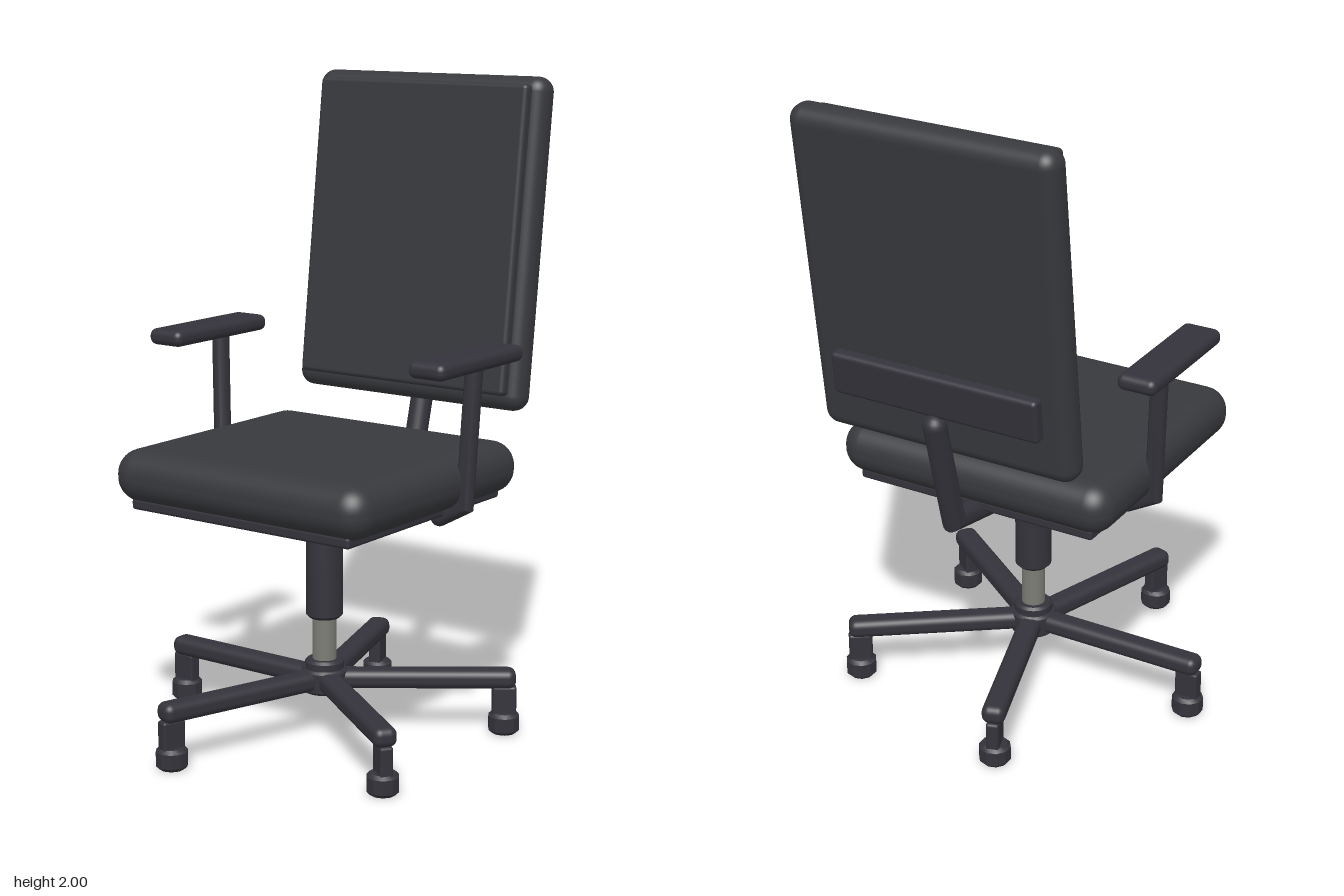
import * as THREE from 'three';
import { RoundedBoxGeometry } from 'three/addons/geometries/RoundedBoxGeometry.js';
import { toCreasedNormals } from 'three/addons/utils/BufferGeometryUtils.js';

const CX = 0.027, CZ = 0.03; // axis of the gas column
const V = (x, y, z) => new THREE.Vector3(x, y, z);

// Round bar through a planar bent path, with mitred corners
function bentBar(points, r, sides = 20) {
  const dirs = points.slice(1).map((p, i) => p.clone().sub(points[i]).normalize());
  const b = dirs[0].clone().cross(dirs[1]).normalize();
  const pos = [], idx = [];
  points.forEach((p, i) => {
    const before = dirs[Math.max(i - 1, 0)], after = dirs[Math.min(i, dirs.length - 1)];
    const t = before.clone().add(after).normalize();
    const n = t.clone().cross(b).divideScalar(t.dot(after));
    for (let j = 0; j < sides; j++) {
      const a = (j / sides) * Math.PI * 2;
      const v = p.clone().addScaledVector(b, r * Math.cos(a)).addScaledVector(n, r * Math.sin(a));
      pos.push(v.x, v.y, v.z);
    }
  });
  for (let i = 0; i < points.length - 1; i++) {
    for (let j = 0; j < sides; j++) {
      const k = (j + 1) % sides, lo = i * sides, hi = lo + sides;
      idx.push(lo + j, lo + k, hi + j, lo + k, hi + k, hi + j);
    }
  }
  const g = new THREE.BufferGeometry();
  g.setAttribute('position', new THREE.Float32BufferAttribute(pos, 3));
  g.setIndex(idx);
  return toCreasedNormals(g, 0.45);
}

// Upright turned part with small bevels on both rims
function turned(r, y0, y1, bevel, sides) {
  const profile = [[0, y0], [r - bevel, y0], [r, y0 + bevel], [r, y1 - bevel], [r - bevel, y1], [0, y1]]
    .map(([x, y]) => new THREE.Vector2(x, y));
  return toCreasedNormals(new THREE.LatheGeometry(profile, sides), 0.5);
}

export function createModel() {
  const fabric = new THREE.MeshStandardMaterial({ name: 'charcoal fabric', color: 0x38393d });
  const plastic = new THREE.MeshStandardMaterial({ name: 'dark plastic', color: 0x34333b });
  const metal = new THREE.MeshStandardMaterial({ name: 'grey metal', color: 0x7c7c75 });
  const model = new THREE.Group();
  model.name = 'officeChair';

  const add = (parent, name, geometry, material, x = 0, y = 0, z = 0) => {
    const mesh = new THREE.Mesh(geometry, material);
    mesh.name = name;
    mesh.position.set(x, y, z);
    parent.add(mesh);
    return mesh;
  };
  const box = (w, h, d, r, seg = 4) => new RoundedBoxGeometry(w, h, d, seg, r);
  const bar = (name, points, r) => {
    const group = new THREE.Group();
    group.name = name;
    model.add(group);
    add(group, name + 'Bar', bentBar(points, r), plastic);
    for (const p of [points[0], points[points.length - 1]]) {
      add(group, name + 'End', new THREE.SphereGeometry(r, 20, 12), plastic, p.x, p.y, p.z);
    }
  };

  // Seat cushion with its under-plates
  add(model, 'seatCushion', box(0.92, 0.16, 0.86, 0.075, 6), fabric, CX, 0.835, 0.065);
  add(model, 'seatPan', box(0.8, 0.035, 0.785, 0.01, 2), plastic, CX, 0.752, 0.067);
  add(model, 'seatMount', box(0.365, 0.055, 0.365, 0.012, 2), plastic, CX, 0.717, 0.063);

  // Reclined backrest
  const back = new THREE.Group();
  back.name = 'backrest';
  back.position.set(CX, 1.49, -0.492);
  back.rotation.x = -0.12;
  model.add(back);
  add(back, 'backShell', box(0.845, 1.02, 0.1, 0.046, 6), fabric);
  add(back, 'backCushion', box(0.77, 0.945, 0.06, 0.014, 3), fabric, 0, 0.01, 0.05);
  add(back, 'backPlate', box(0.68, 0.135, 0.06, 0.014, 3), plastic, 0, -0.295, -0.053);
  bar('backSupport', [V(CX, 0.7, -0.17), V(CX, 0.752, -0.435), V(CX, 1.095, -0.525)], 0.035);

  // Armrests
  for (const [side, s] of [['left', 1], ['right', -1]]) {
    add(model, side + 'ArmPad', box(0.125, 0.05, 0.44, 0.022), plastic, CX + s * 0.48, 1.21, -0.01);
    bar(side + 'ArmPost', [
      V(CX + s * 0.474, 1.195, -0.06),
      V(CX + s * 0.456, 0.772, -0.045),
      V(CX + s * 0.37, 0.724, -0.043),
    ], 0.027);
  }

  // Gas column
  add(model, 'columnRod', new THREE.CylinderGeometry(0.037, 0.037, 0.52, 24), metal, CX, 0.45, CZ);
  add(model, 'columnSleeve', turned(0.057, 0.37, 0.63, 0.01, 24), plastic, CX, 0, CZ);

  // Five-star base
  const base = new THREE.Group();
  base.name = 'base';
  base.position.set(CX, 0, CZ);
  model.add(base);
  add(base, 'hub', turned(0.072, 0.135, 0.21, 0.008, 24), plastic);
  add(base, 'hubCollar', turned(0.06, 0.2, 0.238, 0.008, 24), plastic);
  const legGeo = box(0.575, 0.06, 0.072, 0.024);
  const forkGeo = box(0.075, 0.1, 0.04, 0.008, 2);
  const wheelGeo = turned(0.049, 0, 0.066, 0.011, 10);
  for (let i = 0; i < 5; i++) {
    const arm = new THREE.Group();
    arm.name = 'baseArm' + (i + 1);
    arm.rotation.y = Math.PI / 5 + (i * Math.PI * 2) / 5;
    base.add(arm);
    add(arm, 'leg', legGeo, plastic, 0.302, 0.175, 0);
    add(arm, 'casterFork', forkGeo, plastic, 0.554, 0.1, 0);
    add(arm, 'casterWheel', wheelGeo, plastic, 0.554, 0, 0);
  }
  return model;
}
